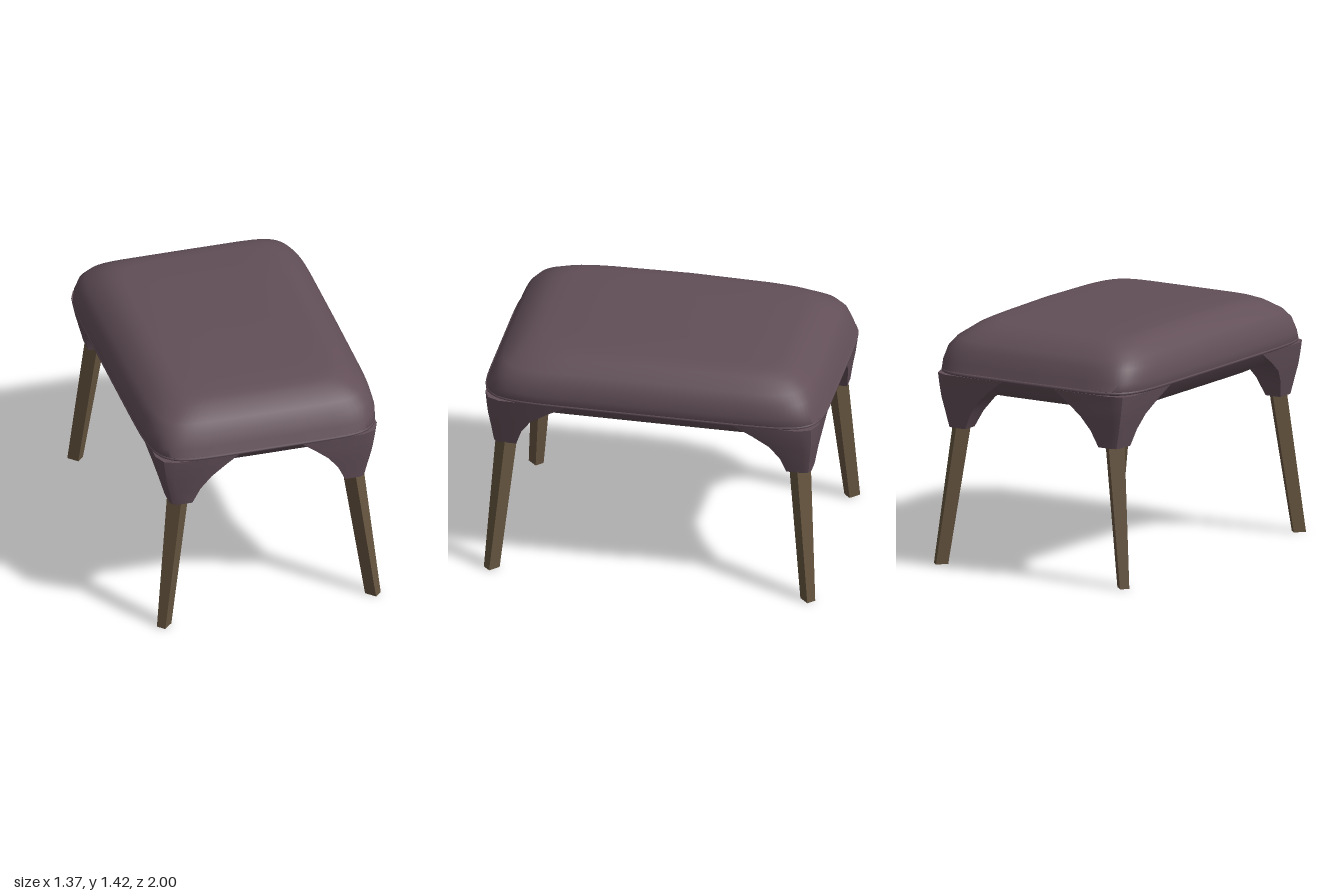
import * as THREE from 'three';
import { toCreasedNormals } from 'three/addons/utils/BufferGeometryUtils.js';

// Skin a stack of rings (arrays of Vector3, bottom to top) and cap both ends.
function loft(rings, crease, flip = false) {
  const n = rings[0].length, pos = [], idx = [];
  const add = (p) => pos.push(p.x, p.y, p.z);
  const mid = (ring) => ring.reduce((s, p) => s.add(p), new THREE.Vector3()).divideScalar(n);
  const tri = (a, b, c) => (flip ? idx.push(a, c, b) : idx.push(a, b, c));
  rings.forEach((ring) => ring.forEach(add));
  const last = (rings.length - 1) * n, bottom = rings.length * n, top = bottom + 1;
  add(mid(rings[0]));
  const t = mid(rings[rings.length - 1]);
  t.y = Math.max(...rings[rings.length - 1].map((p) => p.y));
  add(t);
  for (let j = 0; j < n; j++) {
    const k = (j + 1) % n;
    for (let i = 0; i < last; i += n) {
      tri(i + j, i + n + j, i + k);
      tri(i + k, i + n + j, i + n + k);
    }
    tri(bottom, j, k);
    tri(top, last + k, last + j);
  }
  const geo = new THREE.BufferGeometry();
  geo.setAttribute('position', new THREE.Float32BufferAttribute(pos, 3));
  geo.setIndex(idx);
  return toCreasedNormals(geo, crease);
}

// Soft-cornered rectangle outline; domed raises it gently toward z = 0.
function softRect(y, hx, hz, domed = 0, power = 8, steps = 64) {
  const bend = (v) => Math.sign(v) * Math.pow(Math.abs(v), 2 / power);
  return Array.from({ length: steps }, (_, i) => {
    const a = (i / steps) * Math.PI * 2;
    const z = hz * bend(Math.sin(a));
    const rise = domed * Math.max(0, 1 - (z / 0.75) ** 2);
    return new THREE.Vector3(hx * bend(Math.cos(a)), y + rise, z);
  });
}

// Corner bracket section: rounded outside corner, cut-off inside corner.
function bracketRing(y, x0, x1, z0, z1, r, d) {
  return [
    [x1 - d, z0], [x1, z0], [x1, z1 - r], [x1 - r * 0.3, z1 - r * 0.3],
    [x1 - r, z1], [x0, z1], [x0, z1 - d],
  ].map(([x, z]) => new THREE.Vector3(x, y, z));
}

// Leg section: rectangle turned to face the corner diagonal.
function legRing(y, cx, cz, length, width) {
  return [[1, -1], [1, 1], [-1, 1], [-1, -1]].map(([u, v]) => {
    const a = (u * length) / 2, b = (v * width) / 2;
    return new THREE.Vector3(cx + (a - b) * Math.SQRT1_2, y, cz + (a + b) * Math.SQRT1_2);
  });
}

export function createModel() {
  const group = new THREE.Group();
  const fabric = new THREE.MeshStandardMaterial({ name: 'plum fabric', color: 0x624f58 });
  const wood = new THREE.MeshStandardMaterial({ name: 'brown wood', color: 0x665540 });
  const add = (name, geo, mat) => {
    const mesh = new THREE.Mesh(geo, mat);
    mesh.name = name;
    group.add(mesh);
  };

  // Padded cushion
  add('cushion', loft([
    softRect(1.13, 0.68, 0.985),
    softRect(1.145, 0.685, 0.99),
    softRect(1.19, 0.687, 0.972),
    softRect(1.265, 0.668, 0.942, 0.005),
    softRect(1.315, 0.632, 0.9, 0.01),
    softRect(1.368, 0.555, 0.82, 0.02),
    softRect(1.392, 0.5, 0.76, 0.02),
    softRect(1.4, 0.45, 0.7, 0.02),
    softRect(1.4, 0.25, 0.4, 0.02),
  ], 0.7), fabric);

  // Piping around the seam
  const seam = new THREE.CatmullRomCurve3(softRect(1.135, 0.677, 0.988), true);
  add('piping', new THREE.TubeGeometry(seam, 128, 0.011, 6, true), fabric);

  // Upholstered underside
  add('seatBase', loft([
    softRect(0.977, 0.3, 0.45),
    softRect(0.988, 0.5, 0.76),
    softRect(1.05, 0.61, 0.91),
    softRect(1.13, 0.665, 0.975),
  ], 0.6), fabric);

  // Four corner brackets and splayed legs
  for (const sx of [1, -1]) for (const sz of [1, -1]) {
    const corner = (sz > 0 ? 'front' : 'back') + (sx > 0 ? 'Left' : 'Right');
    const mirror = (ring) => ring.map((p) => new THREE.Vector3(p.x * sx, p.y, p.z * sz));
    const flip = sx * sz < 0;
    add(corner + 'Bracket', loft([
      bracketRing(0.805, 0.455, 0.582, 0.79, 0.93, 0.04, 0.1),
      bracketRing(0.9, 0.41, 0.607, 0.757, 0.943, 0.05, 0.14),
      bracketRing(0.98, 0.35, 0.628, 0.7, 0.957, 0.06, 0.18),
      bracketRing(1.05, 0.27, 0.645, 0.6, 0.967, 0.08, 0.22),
      bracketRing(1.12, 0.18, 0.66, 0.48, 0.975, 0.1, 0.26),
    ].map(mirror), 0.6, flip), fabric);
    add(corner + 'Leg', loft([
      legRing(0, 0.622, 0.925, 0.072, 0.055),
      legRing(0.84, 0.52, 0.857, 0.085, 0.095),
    ].map(mirror), 0.3, flip), wood);
  }
  return group;
}
